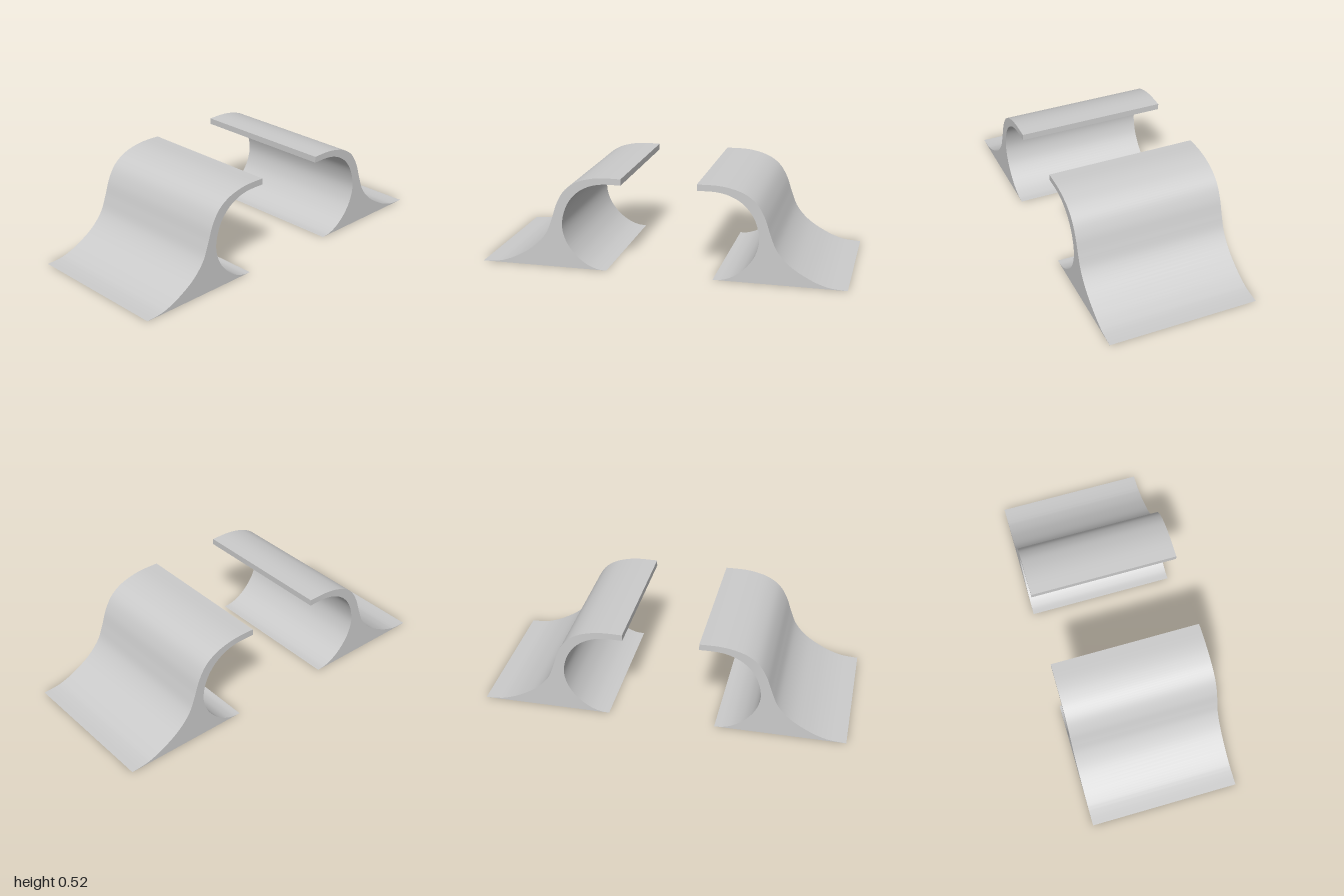
import * as THREE from 'three';
import { toCreasedNormals } from 'three/addons/utils/BufferGeometryUtils.js';

const DEPTH = 0.824;

// Outer face: from the foot's thin outer edge up to the lip
const OUTER = [[1, 0], [0.935, 0.004], [0.88, 0.014], [0.8, 0.046], [0.7, 0.108], [0.63, 0.185], [0.594, 0.27],
  [0.563, 0.36], [0.52, 0.432], [0.46, 0.478], [0.39, 0.503], [0.31, 0.515], [0.205, 0.515]];
// Inner face: from the lip round the hollow down to the foot's inner edge
const INNER = [[0.205, 0.481], [0.31, 0.48], [0.39, 0.46], [0.46, 0.415], [0.513, 0.34], [0.536, 0.24],
  [0.515, 0.15], [0.463, 0.076], [0.4, 0.027], [0.34, 0.004], [0.292, 0]];

// One curved bracket; side is +1 for the left, -1 for the right
function makeBracket(side, material) {
  const toPoints = (list) => list.map(([x, y]) => new THREE.Vector2(side * x, y));
  const outer = toPoints(OUTER);
  const inner = toPoints(INNER);

  const profile = new THREE.Shape();
  profile.moveTo(outer[0].x, outer[0].y);
  profile.splineThru(outer.slice(1));
  profile.lineTo(inner[0].x, inner[0].y);
  profile.splineThru(inner.slice(1));
  profile.closePath();

  const extruded = new THREE.ExtrudeGeometry(profile, { depth: DEPTH, bevelEnabled: false, curveSegments: 5 });
  extruded.translate(0, 0, -DEPTH / 2);
  const bracket = new THREE.Mesh(toCreasedNormals(extruded, 0.6), material);
  bracket.name = side > 0 ? 'leftBracket' : 'rightBracket';
  return bracket;
}

export function createModel() {
  const model = new THREE.Group();
  model.name = 'bracketPair';
  const material = new THREE.MeshStandardMaterial({ color: 0xcccccc });
  for (const side of [1, -1]) model.add(makeBracket(side, material));
  return model;
}
